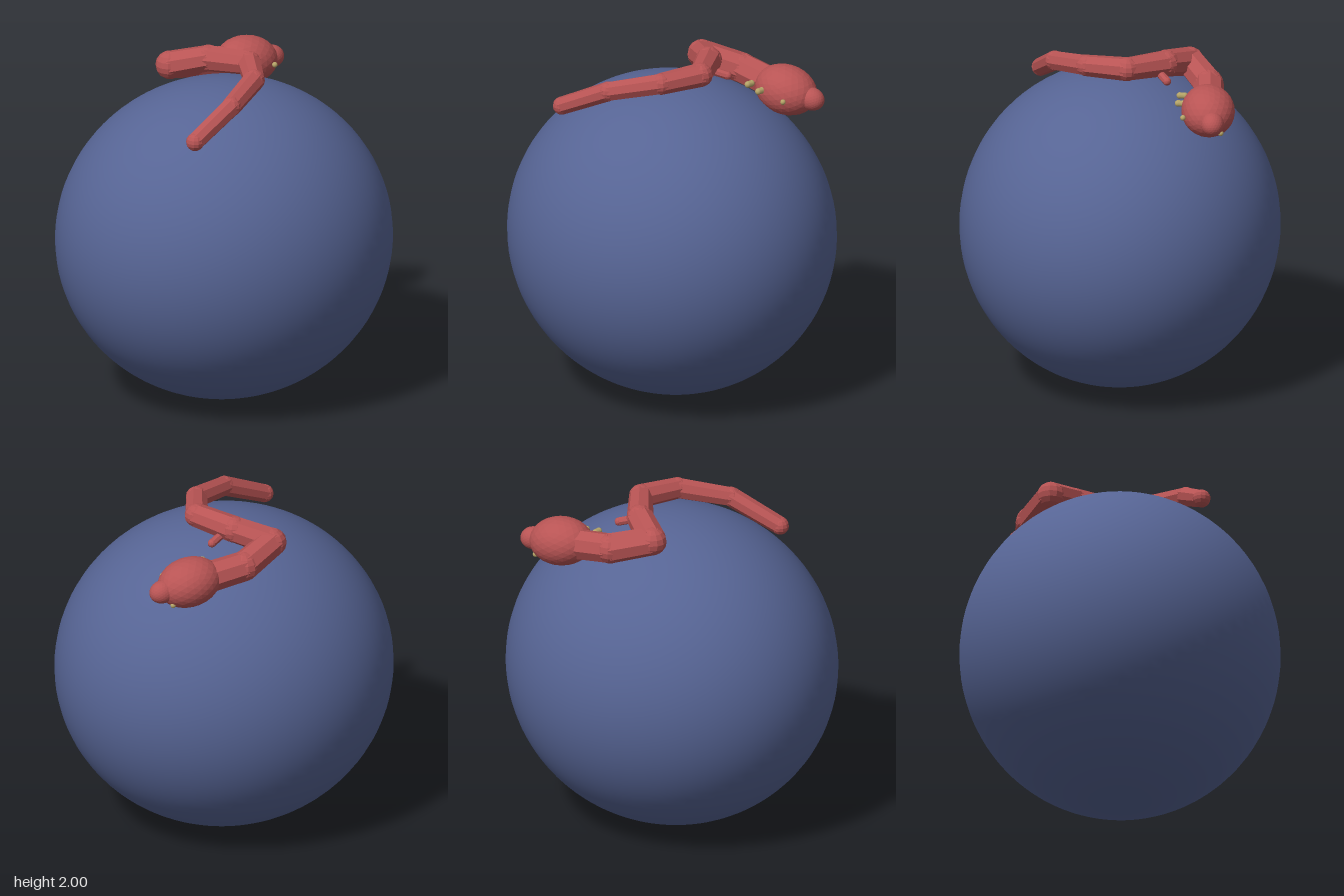
import * as THREE from 'three';

const red = new THREE.MeshStandardMaterial({ color: 0xb85454, flatShading: true });
const blue = new THREE.MeshStandardMaterial({ color: 0x566494 });
const beige = new THREE.MeshStandardMaterial({ color: 0xb5a468 });
const v = (a) => new THREE.Vector3(...a);

export function createModel() {
  const model = new THREE.Group();

  function add(name, geometry, material, position, scale = [1, 1, 1]) {
    const mesh = new THREE.Mesh(geometry, material);
    mesh.name = name;
    mesh.position.copy(position);
    mesh.scale.set(...scale);
    model.add(mesh);
    return mesh;
  }

  // Tapered eight-sided rod between two points
  function rod(name, a, b, ra, rb, material) {
    const dir = b.clone().sub(a);
    const mesh = add(name, new THREE.CylinderGeometry(rb, ra, dir.length(), 8), material, a.clone().lerp(b, 0.5));
    mesh.quaternion.setFromUnitVectors(new THREE.Vector3(0, 1, 0), dir.normalize());
  }

  const ball = (name, p, r, material = red) =>
    add(name, new THREE.SphereGeometry(r, 12, 8), material, p);

  // Rounded rod
  function capsule(name, a, b, r, material) {
    rod(name, a, b, r, r, material);
    ball(name + 'Start', a, r, material);
    ball(name + 'End', b, r, material);
  }

  // Large globe, slightly squashed
  add('globe', new THREE.SphereGeometry(1, 64, 48), blue, v([0, 0.927, 0]), [0.968, 0.927, 0.912]);

  // Winding body from tail tip to neck: x, y, z, radius
  const joints = [
    [-0.385, 1.715, 0.495, 0.052],
    [-0.115, 1.855, 0.385, 0.057],
    [0.11, 1.915, 0.18, 0.062],
    [0.18, 1.927, -0.06, 0.069],
    [0.015, 1.912, -0.265, 0.077],
    [-0.175, 1.86, -0.38, 0.082],
    [0.03, 1.80, -0.51, 0.087],
    [0.30, 1.765, -0.54, 0.09],
  ];
  joints.forEach(([x, y, z, r], i) => {
    const p = v([x, y, z]);
    ball('bodyJoint', p, r);
    if (i > 0) {
      const q = joints[i - 1];
      rod('bodySegment', v(q.slice(0, 3)), p, q[3], r, red);
    }
  });

  // Head and snout, stretched along the facing direction
  const facing = new THREE.Quaternion().setFromUnitVectors(
    new THREE.Vector3(1, 0, 0), v([0.97, -0.13, -0.2]).normalize());
  const headShape = new THREE.IcosahedronGeometry(1, 4);
  add('head', headShape, red, v([0.365, 1.762, -0.543]), [0.19, 0.14, 0.152]).quaternion.copy(facing);
  add('snout', headShape, red, v([0.535, 1.745, -0.585]), [0.078, 0.066, 0.066]).quaternion.copy(facing);

  // Eyes
  ball('leftEye', v([0.485, 1.757, -0.412]), 0.016, beige);
  ball('rightEye', v([0.485, 1.672, -0.628]), 0.016, beige);

  // Small arm stub and claws
  capsule('arm', v([0.06, 1.88, -0.22]), v([0.155, 1.853, -0.285]), 0.024, red);
  for (const [x, y] of [[0.235, 1.8], [0.325, 1.785]]) {
    capsule('claw', v([x, y, -0.395]), v([x, y, -0.367]), 0.019, beige);
  }

  return model;
}
